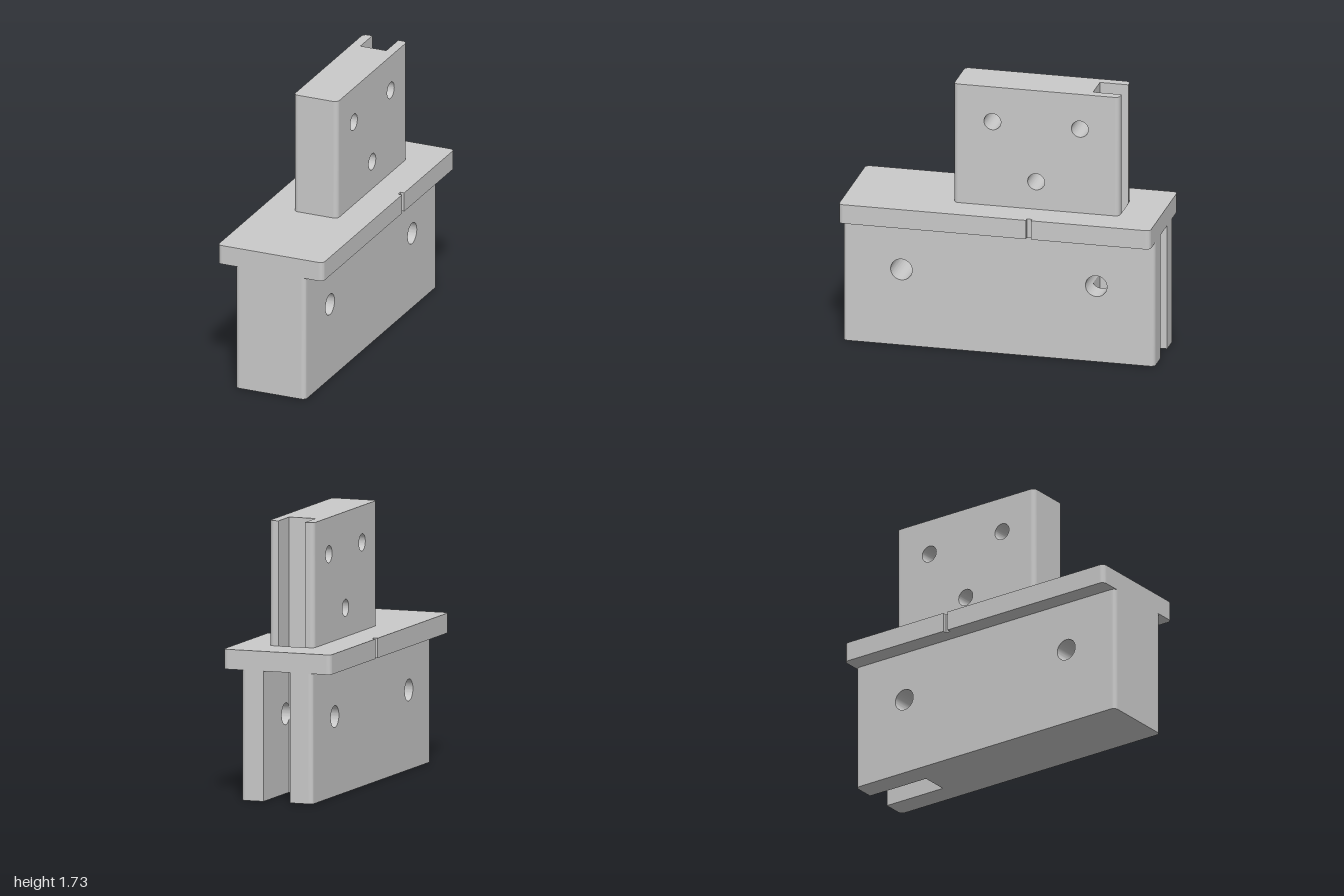
import * as THREE from 'three';
import { toCreasedNormals } from 'three/addons/utils/BufferGeometryUtils.js';

const SLOT = 0.0885;    // half width of the rear slot
const SLOT_U = 0.568;   // slot floor; u is the distance towards the back (u = -z)
const R = 0.03;         // radius of the vertical corners
const LAYERS = 7;

const metal = new THREE.MeshStandardMaterial({ color: 0xcacaca });
metal.name = 'grey metal';

function outline(points) {
  return new THREE.Shape(points.map(([a, b]) => new THREE.Vector2(a, b)));
}

function circle(u, y, r) {
  return new THREE.Path().absarc(u, y, r, 0, Math.PI * 2, true);
}

// Smooth normals on the rounded parts, exactly flat ones on axis-aligned faces
function shade(source) {
  const g = toCreasedNormals(source, 0.6);
  const p = g.attributes.position;
  const tri = new THREE.Triangle();
  const n = new THREE.Vector3();
  for (let i = 0; i < p.count; i += 3) {
    tri.setFromAttributeAndIndices(p, i, i + 1, i + 2).getNormal(n);
    if (Math.max(Math.abs(n.x), Math.abs(n.y), Math.abs(n.z)) < 0.999) continue;
    for (let k = i; k < i + 3; k++) g.attributes.normal.setXYZ(k, n.x, n.y, n.z);
  }
  return g;
}

// Drops the hidden joint faces lying in the planes x = +-SLOT
function withoutJoints(g) {
  const p = g.attributes.position;
  const out = [];
  for (let i = 0; i < p.count; i += 3) {
    const ids = [i, i + 1, i + 2];
    const joint = [SLOT, -SLOT].some((x) => ids.every((k) => Math.abs(p.getX(k) - x) < 1e-5));
    if (!joint) for (const k of ids) out.push(p.getX(k), p.getY(k), p.getZ(k));
  }
  const result = new THREE.BufferGeometry();
  result.setAttribute('position', new THREE.Float32BufferAttribute(out, 3));
  return result;
}

// Mirror image in x, with the corner order reversed
function mirrored(g) {
  const p = g.attributes.position;
  const out = [];
  for (let i = 0; i < p.count; i += 3) {
    for (const k of [i + 2, i + 1, i]) out.push(-p.getX(k), p.getY(k), p.getZ(k));
  }
  const result = new THREE.BufferGeometry();
  result.setAttribute('position', new THREE.Float32BufferAttribute(out, 3));
  return result;
}

function addMesh(group, name, geometry) {
  const mesh = new THREE.Mesh(shade(geometry), metal);
  mesh.name = name;
  group.add(mesh);
}

// Slotted block with cross holes: two rounded cheeks around a solid core
function slottedBlock(name, { half, u0, u1, y0, y1, holes }) {
  const group = new THREE.Group();
  group.name = name;
  const paths = (list) => list.map(([u, y, r]) => circle(u, y, r));

  // Cheek: layered extrusion whose ends draw in along a quarter circle
  const side = outline([[u0, y0], [u1, y0], [u1, y1], [u0, y1]]);
  side.holes = paths(holes);
  const cheek = new THREE.ExtrudeGeometry(side, { depth: LAYERS, steps: LAYERS, bevelEnabled: false, curveSegments: 32 });
  const p = cheek.attributes.position;
  for (let i = 0; i < p.count; i++) {
    const layer = Math.round(p.getZ(i));
    const t = Math.max(0, layer - 1) / (LAYERS - 1) * Math.PI / 2;
    const inset = R * (1 - Math.cos(t));
    const u = p.getX(i);
    if (Math.abs(u - u0) < 1e-5) p.setX(i, u0 + inset);
    if (Math.abs(u - u1) < 1e-5) p.setX(i, u1 - inset);
    p.setZ(i, layer === 0 ? SLOT : half - R + R * Math.sin(t));
  }
  const leftCheek = withoutJoints(cheek.rotateY(Math.PI / 2));
  addMesh(group, 'leftCheek', leftCheek);
  addMesh(group, 'rightCheek', mirrored(leftCheek));

  // Core and slot walls, each cut by a hole that crosses the slot floor
  const core = new THREE.Shape().moveTo(u0, y0).lineTo(SLOT_U, y0);
  const wall = new THREE.Shape().moveTo(SLOT_U, y0).lineTo(u1, y0).lineTo(u1, y1).lineTo(SLOT_U, y1);
  const crossing = holes.find(([u, , r]) => Math.abs(u - SLOT_U) < r);
  if (crossing) {
    const [u, y, r] = crossing;
    const a = Math.acos((u - SLOT_U) / r);
    core.absarc(u, y, r, Math.PI + a, Math.PI - a, true);
    wall.absarc(u, y, r, Math.PI - a, a - Math.PI, true);
  }
  core.lineTo(SLOT_U, y1).lineTo(u0, y1);
  core.holes = paths(holes.filter(([u, , r]) => u + r < SLOT_U));
  const coreGeometry = new THREE.ExtrudeGeometry(core, { depth: 2 * SLOT, bevelEnabled: false, curveSegments: 32 });
  coreGeometry.translate(0, 0, -SLOT).rotateY(Math.PI / 2);
  addMesh(group, 'core', withoutJoints(coreGeometry));

  const rightWall = new THREE.ShapeGeometry(wall, 32).toNonIndexed();
  rightWall.translate(0, 0, -SLOT).rotateY(Math.PI / 2);
  addMesh(group, 'rightSlotWall', rightWall);
  addMesh(group, 'leftSlotWall', mirrored(rightWall));
  return group;
}

// Flange with rounded corners, a notch in each long edge and a slot opening
function flange(y0, y1) {
  const w = 0.36, d = 1, n0 = 0.203, n1 = 0.236, cut = w - 0.027;
  const s = new THREE.Shape().moveTo(-w + R, -d).lineTo(w - R, -d);
  s.absarc(w - R, -d + R, R, -Math.PI / 2, 0, false);
  s.lineTo(w, n0).lineTo(cut, n0).lineTo(cut, n1).lineTo(w, n1);
  s.absarc(w - R, d - R, R, 0, Math.PI / 2, false);
  s.absarc(-w + R, d - R, R, Math.PI / 2, Math.PI, false);
  s.lineTo(-w, n1).lineTo(-cut, n1).lineTo(-cut, n0).lineTo(-w, n0);
  s.absarc(-w + R, -d + R, R, Math.PI, Math.PI * 1.5, false);
  s.holes.push(outline([[-SLOT, SLOT_U], [-SLOT, 0.75], [SLOT, 0.75], [SLOT, SLOT_U]]));
  const g = new THREE.ExtrudeGeometry(s, { depth: y1 - y0, bevelEnabled: false, curveSegments: 6 });
  return g.rotateX(-Math.PI / 2).translate(0, y0, 0);
}

export function createModel() {
  const model = new THREE.Group();
  model.name = 'slottedBracket';
  model.add(slottedBlock('lowerBlock', {
    half: 0.24, u0: -1, u1: 1, y0: 0, y1: 0.82,
    holes: [[-0.625, 0.502, 0.069], [0.625, 0.502, 0.069]],
  }));
  addMesh(model, 'flange', flange(0.82, 0.945));
  model.add(slottedBlock('upperBlock', {
    half: 0.15, u0: -0.312, u1: 0.75, y0: 0.945, y1: 1.733,
    holes: [[-0.063, 1.502, 0.054], [0.498, 1.502, 0.054], [0.217, 1.127, 0.054]],
  }));
  return model;
}
